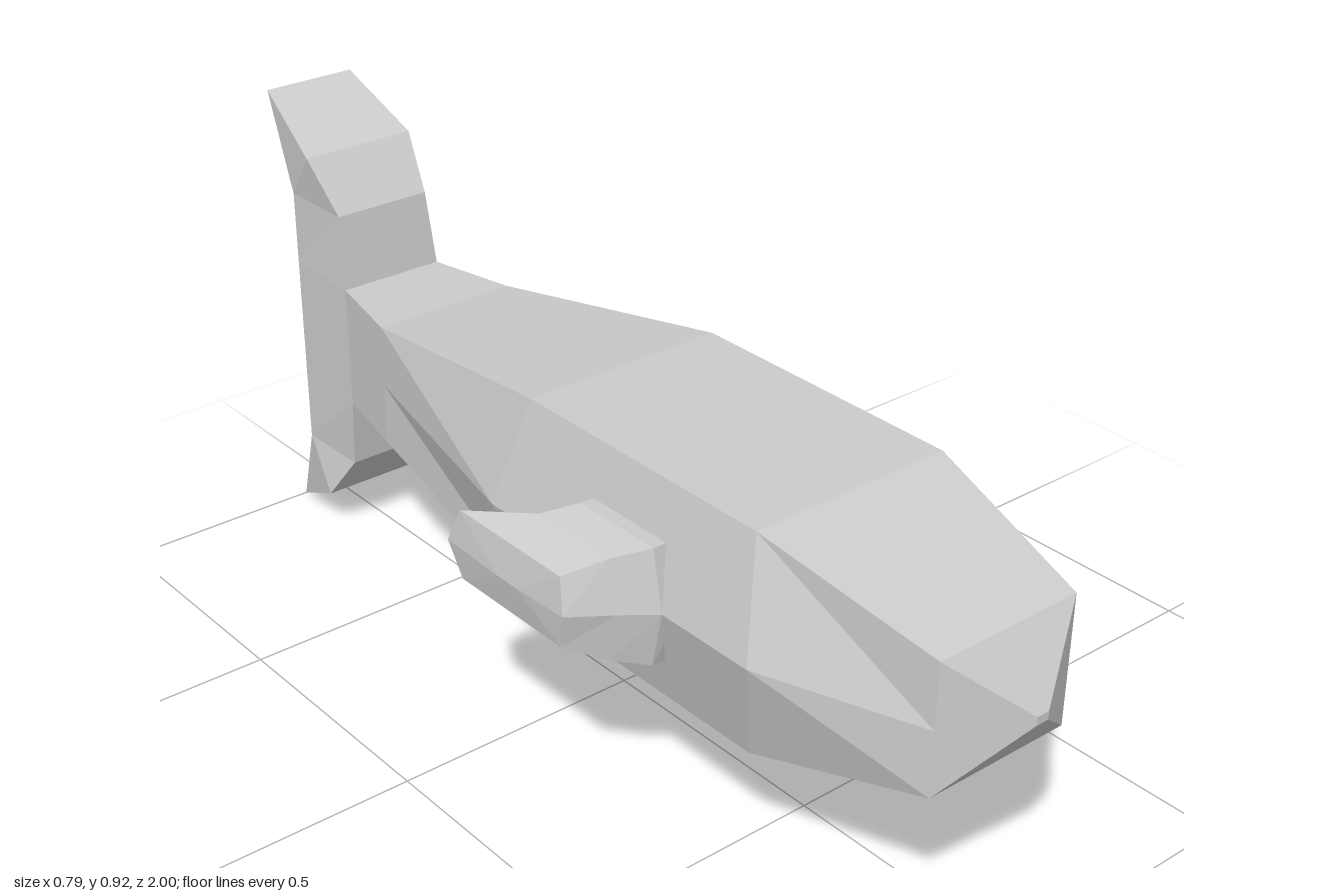
import * as THREE from 'three';

const MID = 0.465; // height of the body axis

// Skin a list of equal-length rings; rings run counter-clockwise about the loft direction.
function loft(rings, { mirror = false, skip = () => false } = {}) {
  const pos = [];
  const tri = (a, b, c) => {
    for (const p of mirror ? [a, c, b] : [a, b, c]) pos.push(mirror ? -p[0] : p[0], p[1], p[2]);
  };
  for (let r = 0; r < rings.length - 1; r++) {
    const A = rings[r], B = rings[r + 1], n = A.length;
    for (let i = 0; i < n; i++) {
      if (skip(r, i)) continue;
      const j = (i + 1) % n;
      tri(A[i], A[j], B[j]);
      tri(A[i], B[j], B[i]);
    }
  }
  const g = new THREE.BufferGeometry();
  g.setAttribute('position', new THREE.Float32BufferAttribute(pos, 3));
  g.computeVertexNormals();
  return g;
}

export function createModel() {
  const group = new THREE.Group();
  const grey = new THREE.MeshStandardMaterial({ color: 0xcccccc, flatShading: true, side: THREE.DoubleSide });
  grey.name = 'pale grey';
  const add = (name, geometry) => {
    const mesh = new THREE.Mesh(geometry, grey);
    mesh.name = name;
    group.add(mesh);
  };

  // Body: hexagonal sections [z of top/bottom, z of side ridge, flat half width, ridge half width, half height]
  const body = [
    [-0.735, -0.735, 0.11, 0.11, 0.125],
    [-0.55, -0.55, 0.15, 0.15, 0.125],
    [0, -0.05, 0.206, 0.26, 0.21],
    [0.575, 0.62, 0.206, 0.26, 0.21],
    [0.92, 0.92, 0.151, 0.151, 0.125],
    [1, 1, 0.013, 0.013, 0.008],
    [1, 1, 0, 0, 0],
  ].map(([z, zm, w, wm, h]) => [
    [wm, MID, zm], [w, MID + h, z], [-w, MID + h, z],
    [-wm, MID, zm], [-w, MID - h, z], [w, MID - h, z],
  ]);
  add('body', loft(body));

  // Tail fin: sections going up [front y, front z, front half width, back y, back z, back half width]
  const tail = [
    [0.003, -1, 0.08, 0.003, -1, 0.08],
    [0.09, -0.83, 0.12, 0.19, -0.915, 0.105],
    [0.19, -0.755, 0.102, 0.19, -0.915, 0.105],
    [0.34, -0.735, 0.11, 0.34, -0.915, 0.105],
    [0.59, -0.735, 0.11, 0.59, -0.915, 0.105],
    [0.737, -0.755, 0.102, 0.737, -0.915, 0.105],
    [0.84, -0.83, 0.12, 0.737, -0.915, 0.105],
    [0.928, -1, 0.097, 0.928, -1, 0.097],
  ].map(([fy, fz, fw, by, bz, bw]) => [
    [fw, fy, fz], [bw, by, bz], [-bw, by, bz], [-fw, fy, fz],
  ]);
  // The front stays open where the body joins
  add('tailFin', loft(tail, { skip: (r, i) => r === 3 && i === 3 }));

  // Side fins: hexagonal sections going outward
  // [corner x, ridge x, half height, front corner z, front ridge z, back corner z, back ridge z]
  const fin = [
    [0.2, 0.22, 0.113, 0.39, 0.42, 0.21, 0.23],
    [0.258, 0.26, 0.113, 0.39, 0.415, 0.2, 0.22],
    [0.318, 0.318, 0.098, 0.35, 0.37, 0.165, 0.15],
    [0.383, 0.39, 0.068, 0.305, 0.32, 0.03, 0],
    [0.395, 0.395, 0, 0.2, 0.2, 0.15, 0.15],
  ].map(([x, xm, h, f, fm, b, bm]) => [
    [x, MID + h, f], [xm, MID, fm], [x, MID - h, f],
    [x, MID - h, b], [xm, MID, bm], [x, MID + h, b],
  ]);
  add('leftFin', loft(fin));
  add('rightFin', loft(fin, { mirror: true }));

  return group;
}
